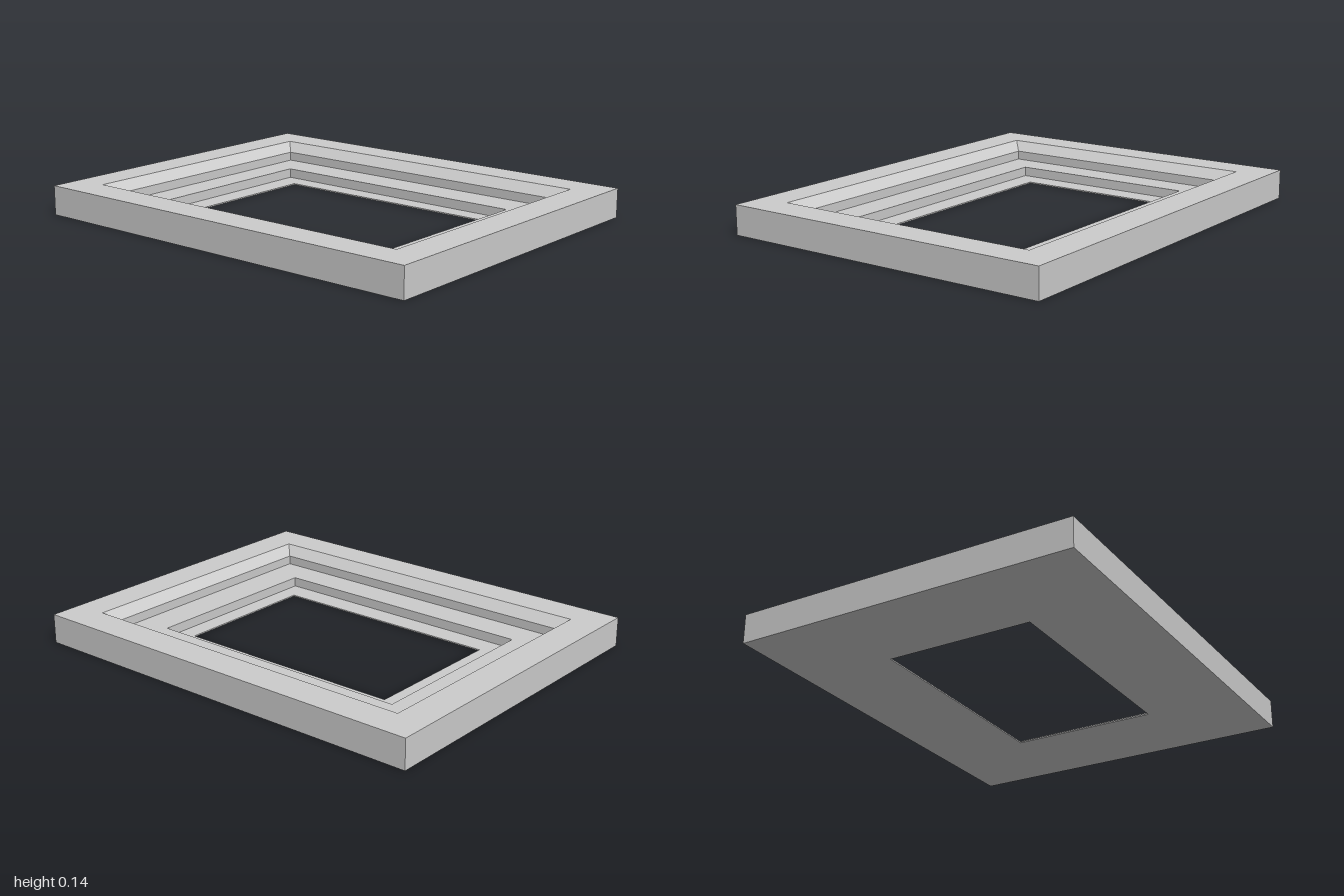
import * as THREE from 'three';

const material = new THREE.MeshStandardMaterial({ color: 0xcccccc, flatShading: true });

// Four corners of a rectangular loop at height y
const rect = (x, z, y) => [[-x, y, -z], [x, y, -z], [x, y, z], [-x, y, z]];

// Surface joining successive four-cornered loops
function loft(name, loops) {
  const pos = [];
  for (let i = 0; i < loops.length - 1; i++) {
    const a = loops[i], b = loops[i + 1];
    for (let k = 0; k < 4; k++) {
      const n = (k + 1) % 4;
      pos.push(...a[k], ...b[n], ...a[n], ...a[k], ...b[k], ...b[n]);
    }
  }
  const geometry = new THREE.BufferGeometry();
  geometry.setAttribute('position', new THREE.Float32BufferAttribute(pos, 3));
  geometry.computeVertexNormals();
  const mesh = new THREE.Mesh(geometry, material);
  mesh.name = name;
  return mesh;
}

export function createModel() {
  const group = new THREE.Group();
  group.name = 'steppedFrame';

  const top = 0.137, ledge = 0.05, lip = 0.006;
  // The recess is slightly off centre and out of square
  const recess = y => [[-0.664, y, -0.443], [0.641, y, -0.438], [0.638, y, 0.455], [-0.66, y, 0.455]];

  // Underside, outer wall, flat rim, bevel and inner wall
  group.add(loft('outerFrame', [
    rect(0.555, 0.35, 0),
    rect(1, 0.8, 0),
    rect(1, 0.8, top),
    rect(0.845, 0.645, top),
    rect(0.8, 0.6, 0.092),
    rect(0.8, 0.6, ledge),
  ]));

  // Middle ledge and the wall below it
  group.add(loft('middleLedge', [rect(0.8, 0.6, ledge), recess(ledge), recess(lip)]));

  // Thin lip around the opening
  group.add(loft('innerLip', [recess(lip), rect(0.555, 0.35, lip), rect(0.555, 0.35, 0)]));

  return group;
}
